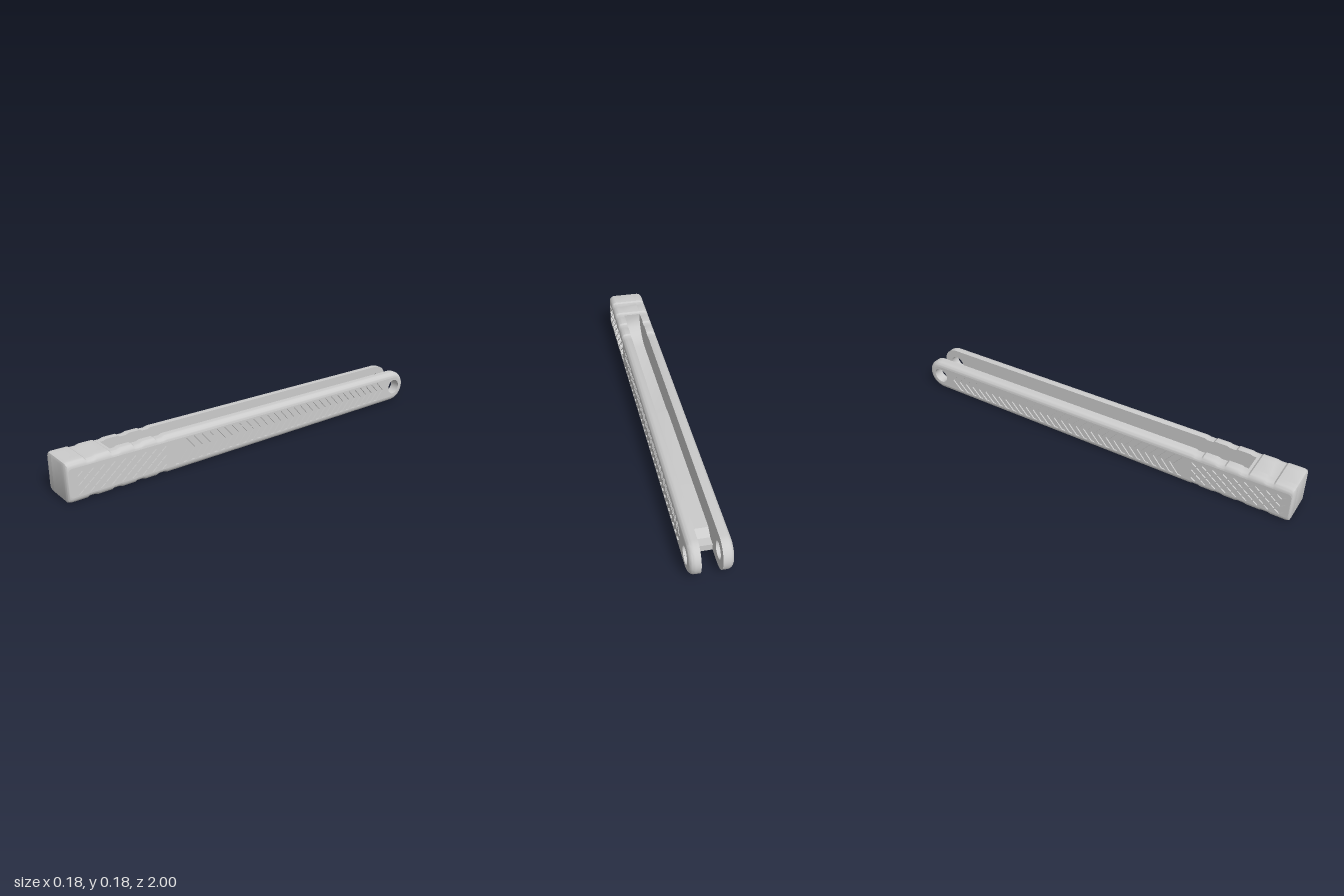
import * as THREE from 'three';
import { toCreasedNormals } from 'three/addons/utils/BufferGeometryUtils.js';

const HALF = 0.0915, SLOT = 0.043, R = 0.026, GROOVE = 0.006;
const PIN = { u: 0.922, y: 0.079, r: 0.038 }, END_R = 0.078;
const NOTCHES = [0.885, 0.77, 0.66, 0.55];

// Side profiles use u = -z, so the extrusion direction becomes +x.
const topAt = (u) => 0.183 - 0.026 * (u + 1) / 1.922;
const v2 = (u, y) => new THREE.Vector2(u, y);

// Shallow finger notches along an edge, from front to back: [u, depth]
function notchSteps(scale) {
  return NOTCHES.flatMap((z) => [[-z - 0.026, 0], [-z - 0.018, 0.006], [-z + 0.01, 0.006], [-z + 0.026, 0]]
    .map(([u, d]) => [u, d * scale]));
}

// Bottom edge, front to back, and top edge, back to front
function bottomEdge(inset) {
  const front = -1 + 0.35 * inset;
  return [v2(front, inset + 0.015), v2(front + 0.004, inset + 0.004), v2(front + 0.015, inset),
    ...notchSteps(1 - inset / R).map(([u, d]) => v2(u, inset + d))];
}
function topEdge(inset) {
  const front = -1 + 0.35 * inset, t = topAt(-1) - inset;
  return [...notchSteps(1 - inset / R).reverse().map(([u, d]) => v2(u, topAt(u) - inset - d)),
    v2(front + 0.015, t), v2(front + 0.004, t - 0.004), v2(front, t - 0.015)];
}

// Whole outline of a cheek, shrunk by an inset
function outline(inset) {
  const arc = [];
  for (let i = 0; i <= 24; i++) {
    const a = -Math.PI / 2 + Math.PI * i / 24;
    arc.push(v2(PIN.u + Math.cos(a) * (END_R - inset), PIN.y + Math.sin(a) * (END_R - inset)
      + (i === 0 ? PIN.y - END_R > 0 ? -(PIN.y - END_R) : 0 : 0)));
  }
  return [...bottomEdge(inset), ...arc, ...topEdge(inset)];
}

function pinHole() {
  return new THREE.Path().absarc(PIN.u, PIN.y, PIN.r, 0, Math.PI * 2, true);
}

function cheekShape(inset) {
  const s = new THREE.Shape(outline(inset));
  s.holes.push(pinHole());
  return s;
}

// Rounded rim: outline rings running from the slot wall to the outer face
function rimGeometry() {
  const rings = [[SLOT, 0]];
  for (let i = 0; i <= 6; i++) {
    const a = Math.PI / 2 * i / 6;
    rings.push([HALF - R + R * Math.sin(a), R * (1 - Math.cos(a))]);
  }
  const pos = [], index = [];
  let n = 0;
  rings.forEach(([x, inset], k) => {
    const pts = outline(inset);
    n = pts.length;
    pts.forEach((p, i) => {
      pos.push(x, p.y, -p.x);
      if (k === 0) return;
      const a = (k - 1) * n + i, b = (k - 1) * n + (i + 1) % n;
      index.push(a, b, b + n, a, b + n, a + n);
    });
  });
  const g = new THREE.BufferGeometry();
  g.setAttribute('position', new THREE.Float32BufferAttribute(pos, 3));
  g.setIndex(index);
  g.computeVertexNormals();
  return toCreasedNormals(g, 0.5);
}

// Grip cut-outs: diamond pits at the front, chevrons pointing to the pin end
function gripHoles() {
  const holes = [];
  for (let k = -2; k <= 2; k++) {
    const odd = Math.abs(k) % 2;
    for (let i = 0; i < 9 - odd; i++) {
      const u = -0.95 + 0.05 * (i + odd / 2), y = topAt(u) / 2 + 0.021 * k;
      holes.push(new THREE.Path([v2(u - 0.022, y), v2(u, y + 0.017), v2(u + 0.022, y), v2(u, y - 0.017)]));
    }
  }
  for (let i = 0; i < 31; i++) {
    const u = -0.485 + 0.042 * i, mid = topAt(u) / 2, lo = 0.031, hi = 2 * mid - 0.033;
    const w = 0.02, run = 0.045;
    holes.push(new THREE.Path([v2(u, lo), v2(u + w, lo), v2(u + w + run, mid),
      v2(u + w, hi), v2(u, hi), v2(u + run, mid)]));
  }
  return holes;
}

function makeCheek(mat, thin) {
  const cheek = new THREE.Group();
  const add = (name, geo, x, material = mat) => {
    const m = new THREE.Mesh(geo, material);
    m.name = name;
    m.position.x = x;
    cheek.add(m);
  };
  add('roundedRim', rimGeometry(), 0);
  // Slot wall faces inward
  add('slotWall', new THREE.ShapeGeometry(cheekShape(0), 32).rotateY(Math.PI / 2), SLOT, thin);
  add('gripFloor', new THREE.ShapeGeometry(cheekShape(R), 32).rotateY(Math.PI / 2), HALF - GROOVE);
  const panel = cheekShape(R);
  panel.holes.push(...gripHoles());
  add('gripPanel', new THREE.ExtrudeGeometry(panel,
    { depth: GROOVE, bevelEnabled: false, curveSegments: 32 }).rotateY(Math.PI / 2), HALF - GROOVE);
  // Lining of the pin hole
  const length = HALF - GROOVE - SLOT;
  const bore = new THREE.CylinderGeometry(PIN.r, PIN.r, length, 32, 1, true).rotateZ(Math.PI / 2);
  bore.translate(0, PIN.y, -PIN.u);
  add('pinBore', bore, SLOT + length / 2, thin);
  return cheek;
}

// Middle: solid nose, ramp, slot floor and the stepped ledge at the fork
function spineGeometry() {
  const slotFront = -0.775;
  const pts = [...bottomEdge(0), v2(0.845, 0), v2(0.845, 0.03), v2(0.805, 0.03), v2(0.77, 0.055),
    v2(-0.02, 0.055), v2(-0.06, 0.048), v2(-0.64, 0.048), v2(-0.69, 0.058), v2(-0.73, 0.078),
    v2(-0.76, 0.105), v2(slotFront, 0.135), v2(slotFront, topAt(slotFront) - 0.006),
    ...topEdge(0).filter((p) => p.x < slotFront)];
  const g = new THREE.ExtrudeGeometry(new THREE.Shape(pts), { depth: 2 * SLOT, bevelEnabled: false });
  return toCreasedNormals(g.rotateY(Math.PI / 2).translate(-SLOT, 0, 0), 0.5);
}

export function createModel() {
  const mat = new THREE.MeshStandardMaterial({ color: 0xcccccc });
  const thin = new THREE.MeshStandardMaterial({ color: 0xcccccc, side: THREE.DoubleSide });
  const model = new THREE.Group();
  model.name = 'slottedHandle';

  const spine = new THREE.Mesh(spineGeometry(), mat);
  spine.name = 'spine';
  model.add(spine);

  for (const side of [1, -1]) {
    const cheek = makeCheek(mat, thin);
    cheek.name = side > 0 ? 'leftCheek' : 'rightCheek';
    cheek.scale.x = side;
    model.add(cheek);
  }
  return model;
}
